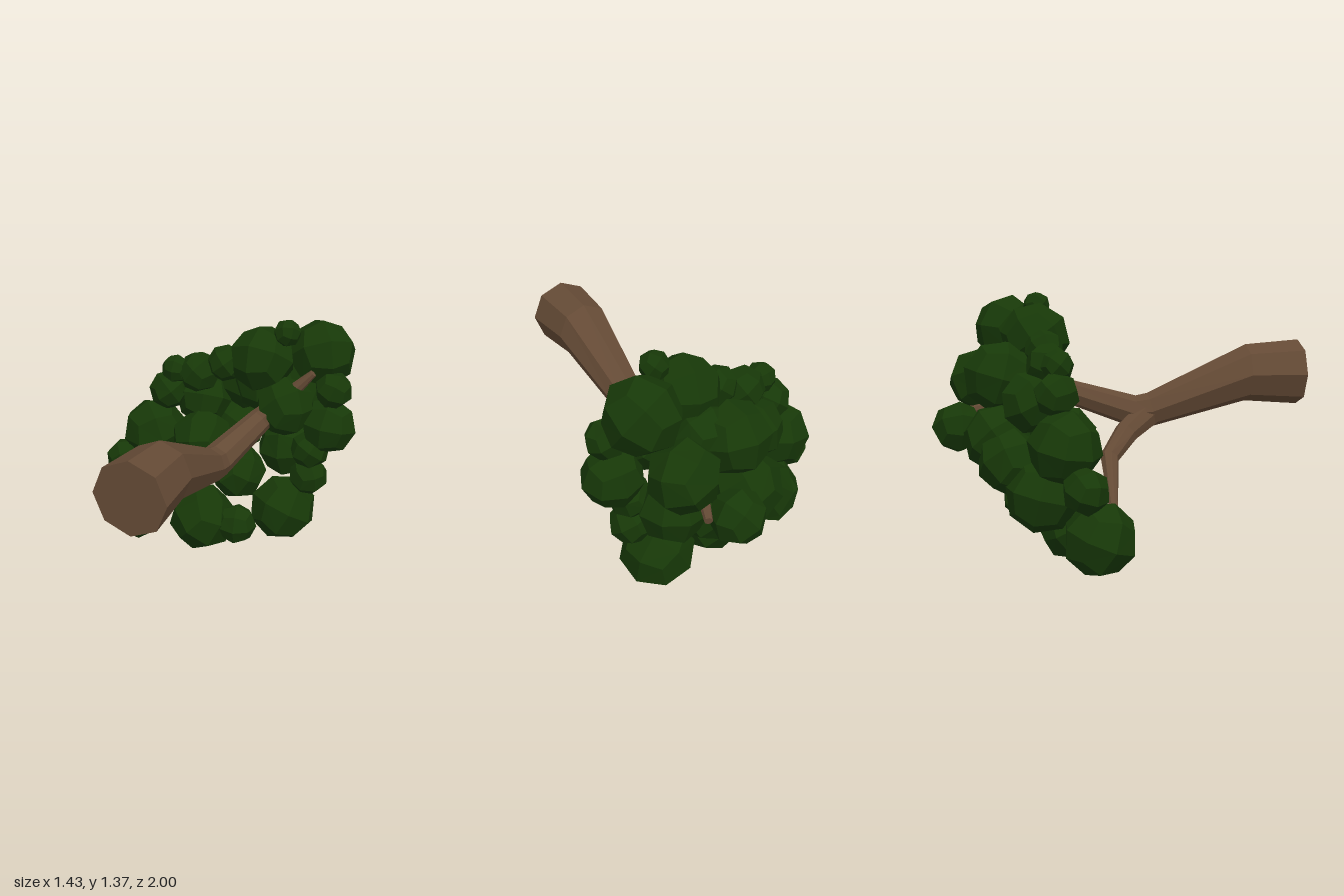
import * as THREE from 'three';

const bark = new THREE.MeshStandardMaterial({ color: 0x644a35, flatShading: true });
const leaf = new THREE.MeshStandardMaterial({ color: 0x173808, flatShading: true });
const SIDES = 8;

// Tapered octagonal limb through [x, y, z, radius] stations, capped at both ends
function limb(name, stations) {
  const pts = stations.map(([x, y, z]) => new THREE.Vector3(x, y, z));
  const last = pts.length - 1;
  const pos = [], index = [];
  pts.forEach((p, i) => {
    const dir = pts[Math.min(i + 1, last)].clone().sub(pts[i]).normalize();
    if (i > 0) dir.add(pts[i].clone().sub(pts[i - 1]).normalize()).normalize();
    // the cut end of the trunk is square to z
    if (name === 'trunk' && i < 2) dir.set(0, 0, -1);
    const q = new THREE.Quaternion().setFromUnitVectors(new THREE.Vector3(0, 0, -1), dir);
    for (let k = 0; k < SIDES; k++) {
      const a = (k / SIDES) * Math.PI * 2, r = stations[i][3];
      const v = new THREE.Vector3(Math.cos(a) * r, Math.sin(a) * r, 0).applyQuaternion(q).add(p);
      pos.push(v.x, v.y, v.z);
    }
  });
  for (let i = 0; i < last; i++) {
    for (let k = 0; k < SIDES; k++) {
      const a = i * SIDES + k, b = i * SIDES + (k + 1) % SIDES;
      index.push(a, a + SIDES, b, b, a + SIDES, b + SIDES);
    }
  }
  for (let k = 1; k < SIDES - 1; k++) {
    const e = last * SIDES;
    index.push(0, k, k + 1, e, e + k + 1, e + k);
  }
  const g = new THREE.BufferGeometry();
  g.setAttribute('position', new THREE.Float32BufferAttribute(pos, 3));
  g.setIndex(index);
  g.computeVertexNormals();
  const mesh = new THREE.Mesh(g, bark);
  mesh.name = name;
  return mesh;
}

// Ball of 24 flat quads: a 2 x 2 divided cube pushed out to a sphere
function ballGeometry() {
  const g = new THREE.BoxGeometry(2, 2, 2, 2, 2, 2);
  const p = g.attributes.position, v = new THREE.Vector3();
  for (let i = 0; i < p.count; i++) {
    v.fromBufferAttribute(p, i);
    const corner = v.lengthSq() > 2.5;
    v.setLength(corner ? 0.98 : 1.04);
    p.setXYZ(i, v.x, v.y, v.z);
  }
  g.computeVertexNormals();
  return g;
}

// Leaf clumps: x, y, z, radius
const lowerClumps = [
  [-0.5, 0.215, -0.2, 0.183], [-0.11, 0.19, -0.28, 0.19], [0.105, 0.195, -0.27, 0.113],
  [0.32, 0.262, -0.455, 0.188], [0.03, 0.425, -0.48, 0.16], [-0.33, 0.4, -0.46, 0.183],
  [-0.605, 0.48, -0.28, 0.113], [-0.45, 0.66, -0.36, 0.18], [-0.14, 0.65, -0.34, 0.175],
];
const upperClumps = [
  [-0.2, 0.85, -0.5, 0.155], [-0.37, 0.905, -0.39, 0.11], [-0.32, 1.04, -0.38, 0.08],
  [-0.19, 1.03, -0.41, 0.115], [-0.035, 1.1, -0.42, 0.1], [0.17, 1.145, -0.45, 0.18],
  [0.465, 1.175, -0.58, 0.185], [0.315, 1.31, -0.43, 0.073], [0.14, 0.97, -0.56, 0.165],
];
const sideClumps = [
  [0.58, 1.02, -0.45, 0.1], [0.33, 0.91, -0.39, 0.16], [0.56, 0.81, -0.46, 0.15],
  [0.465, 0.655, -0.45, 0.107], [0.465, 0.495, -0.45, 0.107], [0.3, 0.6, -0.57, 0.172],
];
const backClumps = [
  [0.345, 0.905, -0.74, 0.172], [0.13, 0.68, -0.865, 0.135], [0.02, 0.955, -0.65, 0.18],
  [-0.06, 0.65, -0.66, 0.18], [-0.19, 0.55, -0.61, 0.165],
];

export function createModel() {
  const group = new THREE.Group();
  group.name = 'fallenTree';

  group.add(
    limb('trunk', [[0.117, 0.943, 1, 0.179], [0.117, 0.943, 0.7, 0.156], [0.12, 0.75, 0.17, 0.093],
      [0.125, 0.74, 0.08, 0.088], [0.225, 0.85, -0.28, 0.067], [0.34, 0.97, -0.37, 0.045], [0.48, 1.12, -0.39, 0.02]]),
    limb('lowerBranch', [[0.11, 0.73, 0.15, 0.08], [0.03, 0.64, 0.02, 0.065],
      [-0.09, 0.53, -0.09, 0.05], [-0.42, 0.33, -0.12, 0.022]]),
    limb('backBranch', [[0.21, 0.84, -0.25, 0.055], [0.19, 0.78, -0.62, 0.04], [0.3, 0.73, -0.88, 0.02]]),
  );

  const foliage = new THREE.Group();
  foliage.name = 'foliage';
  const ball = ballGeometry();
  [...lowerClumps, ...upperClumps, ...sideClumps, ...backClumps].forEach(([x, y, z, r], i) => {
    const clump = new THREE.Mesh(ball, leaf);
    clump.name = 'leafClump' + (i + 1);
    clump.position.set(x, y, z);
    clump.rotation.set(i * 1.3 + 0.4, i * 2.1 + 0.3, i * 0.7);
    clump.scale.setScalar(r);
    foliage.add(clump);
  });
  group.add(foliage);
  return group;
}
